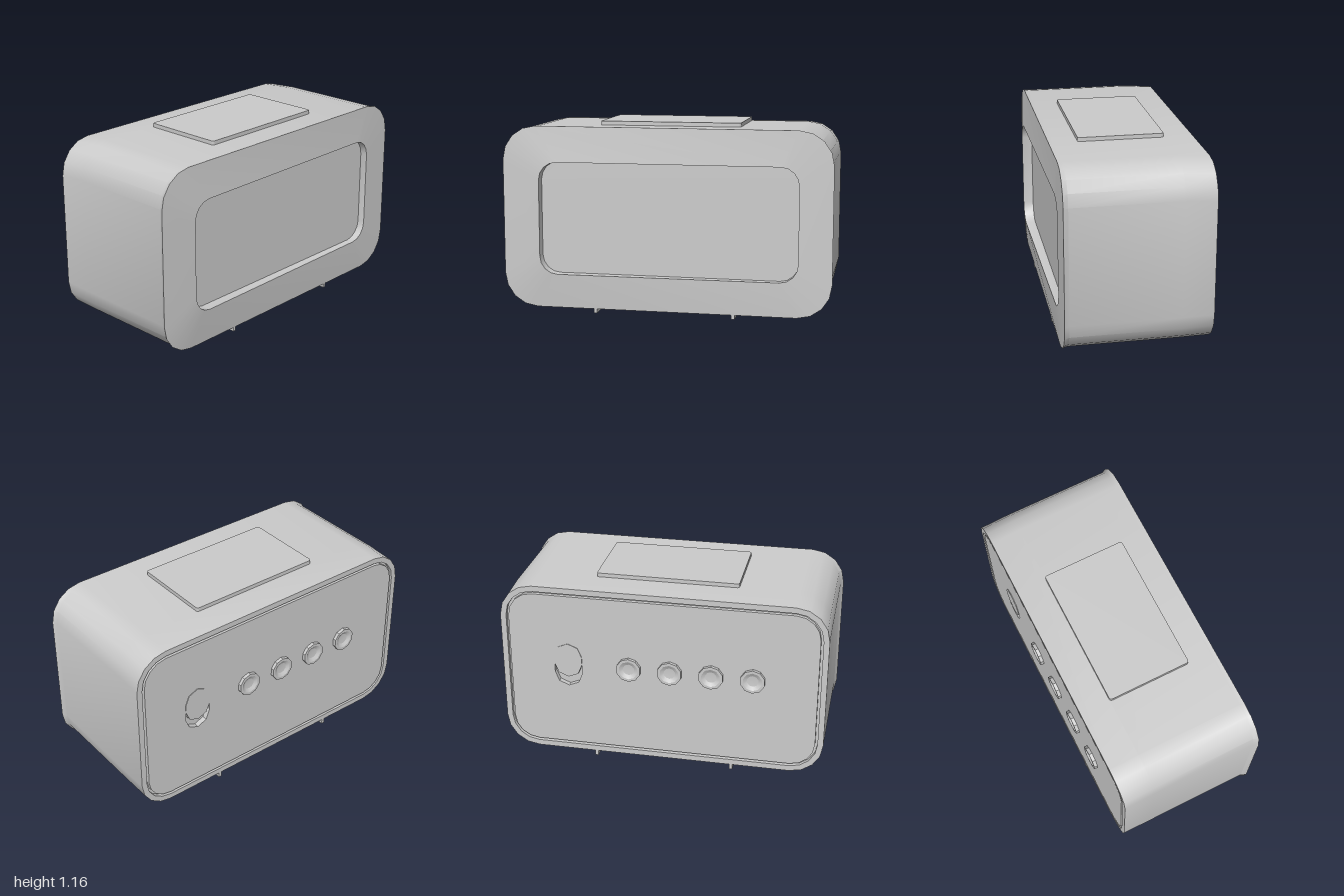
import * as THREE from 'three';
import { toCreasedNormals } from 'three/addons/utils/BufferGeometryUtils.js';

const material = new THREE.MeshStandardMaterial({ color: 0xcccccc });

// Rounded rectangle, counter-clockwise seen from the front
function outline(x0, x1, y0, y1, r, seg = 4) {
  const pts = [];
  const corners = [[x1 - r, y0 + r], [x1 - r, y1 - r], [x0 + r, y1 - r], [x0 + r, y0 + r]];
  corners.forEach(([cx, cy], k) => {
    for (let i = 0; i <= seg; i++) {
      const a = (k - 1 + i / seg) * Math.PI / 2;
      pts.push(new THREE.Vector2(cx + r * Math.cos(a), cy + r * Math.sin(a)));
    }
  });
  return pts;
}

// Skin over a row of outlines; each z is a number or a rule of x
function loft(sections) {
  const pos = [], idx = [], n = sections[0].pts.length;
  for (const { pts, z } of sections)
    for (const p of pts) pos.push(p.x, p.y, typeof z === 'function' ? z(p.x) : z);
  for (let s = 0; s < sections.length - 1; s++)
    for (let i = 0; i < n; i++) {
      const j = (i + 1) % n, a = s * n, b = a + n;
      idx.push(a + i, a + j, b + i, a + j, b + j, b + i);
    }
  const g = new THREE.BufferGeometry();
  g.setAttribute('position', new THREE.Float32BufferAttribute(pos, 3));
  g.setIndex(idx);
  return toCreasedNormals(g, 0.5);
}

function slab(pts, z0, z1, hole) {
  const shape = new THREE.Shape(pts);
  if (hole) shape.holes.push(new THREE.Path(hole));
  const g = new THREE.ExtrudeGeometry(shape, { depth: z1 - z0, bevelEnabled: false });
  return g.translate(0, 0, z0);
}

export function createModel() {
  const model = new THREE.Group();
  const add = (name, geometry, x = 0, y = 0, z = 0) => {
    const mesh = new THREE.Mesh(geometry, material);
    mesh.name = name;
    mesh.position.set(x, y, z);
    model.add(mesh);
    return mesh;
  };

  // Casing: groove around the back panel, rim, walls, flared front, window recess
  const windowPts = outline(-0.77, 0.8, 0.235, 0.92, 0.11);
  const backInner = outline(-0.95, 0.95, 0.068, 1.085, 0.165);
  add('casing', loft([
    { pts: outline(-0.93, 0.93, 0.088, 1.065, 0.145), z: -0.41 },
    { pts: backInner, z: -0.41 },
    { pts: backInner, z: -0.435 },
    { pts: outline(-0.985, 0.985, 0.033, 1.12, 0.2), z: -0.435 },
    { pts: outline(-0.985, 0.985, 0.03, 1.133, 0.2), z: -0.25 },
    { pts: outline(-0.985, 0.985, 0.03, 1.133, 0.2), z: 0.4 },
    { pts: outline(-1, 1, 0.025, 1.135, 0.205), z: 0.43 },
    { pts: windowPts, z: x => 0.455 - (x + 0.77) * 0.012 },
    { pts: windowPts, z: 0.39 },
  ]));

  // Display sunk into the window
  add('screen', new THREE.ShapeGeometry(new THREE.Shape(windowPts)), 0, 0, 0.39);

  // Back panel with a slot and a sliding switch
  const slot = outline(0.49, 0.66, 0.48, 0.76, 0.0849, 2);
  add('backPanel', slab(outline(-0.935, 0.935, 0.083, 1.07, 0.15), -0.434, -0.4, slot));
  add('slotFloor', new THREE.BoxGeometry(0.2, 0.32, 0.01), 0.575, 0.62, -0.397);
  add('slideSwitch', slab(outline(0.49, 0.66, 0.54, 0.76, 0.0849, 2), -0.438, -0.4));

  // Row of dished knobs
  const profile = [[0, 0.006], [0.035, 0.009], [0.058, 0.021], [0.075, 0.021], [0.075, -0.005]]
    .map(([r, h]) => new THREE.Vector2(r, h)).reverse();
  const knob = toCreasedNormals(new THREE.LatheGeometry(profile, 10), 0.3);
  for (let i = 0; i < 4; i++)
    add('knob', knob, -0.55 + i * 0.25, 0.627, -0.434).rotation.x = -Math.PI / 2;

  // Flat button plate on top
  const plate = slab(outline(-0.43, 0.43, -0.26, 0.25, 0.015), 1.12, 1.157);
  add('topButton', plate.rotateX(-Math.PI / 2));

  // Thin runners underneath
  for (const x of [-0.43, 0.415])
    add('footRunner', new THREE.BoxGeometry(0.02, 0.036, 0.865), x, 0.018, -0.0025);

  return model;
}
